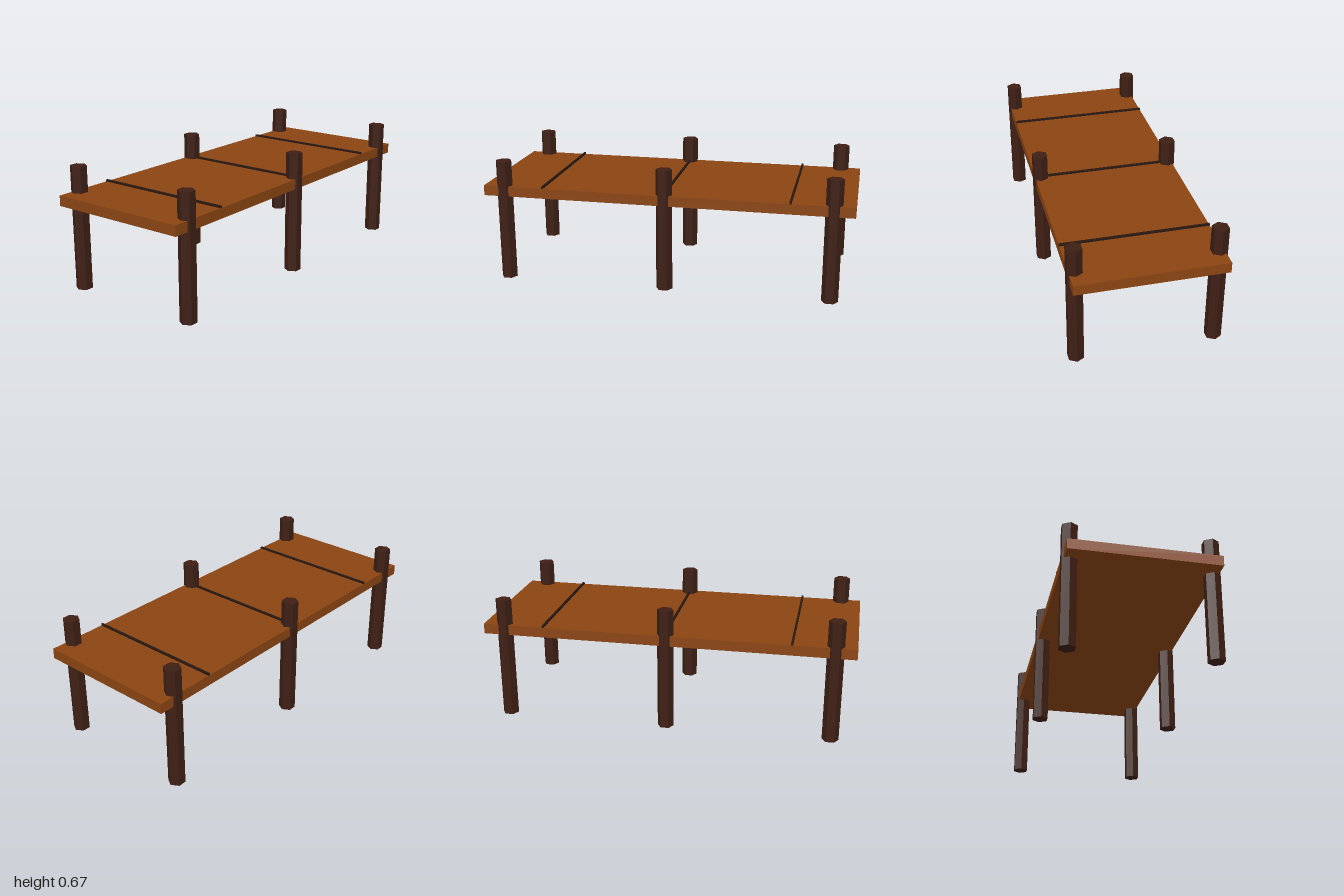
import * as THREE from 'three';

export function createModel() {
  const model = new THREE.Group();
  const material = (color) => new THREE.MeshStandardMaterial({ color, flatShading: true });
  const deckWood = material(0x8b4513);
  const postWood = material(0x3e1f14);
  const seamWood = material(0x2a1810);

  const add = (name, geometry, mat, x, y, z) => {
    const mesh = new THREE.Mesh(geometry, mat);
    mesh.name = name;
    mesh.position.set(x, y, z);
    model.add(mesh);
  };

  // Flat deck slab
  add('deck', new THREE.BoxGeometry(0.778, 0.0556, 2), deckWood, 0, 0.5, 0);

  // Thin raised strips across the deck
  const seam = new THREE.BoxGeometry(0.778, 0.0111, 0.0111);
  for (const z of [-0.667, 0, 0.667]) add('plankSeam', seam, seamWood, 0, 0.533, z);

  // Three pairs of hexagonal posts
  const post = new THREE.CylinderGeometry(0.0444, 0.0444, 0.667, 6);
  for (const z of [-0.889, 0, 0.889]) {
    add('leftPost', post, postWood, 0.361, 0.3335, z);
    add('rightPost', post, postWood, -0.361, 0.3335, z);
  }

  return model;
}
